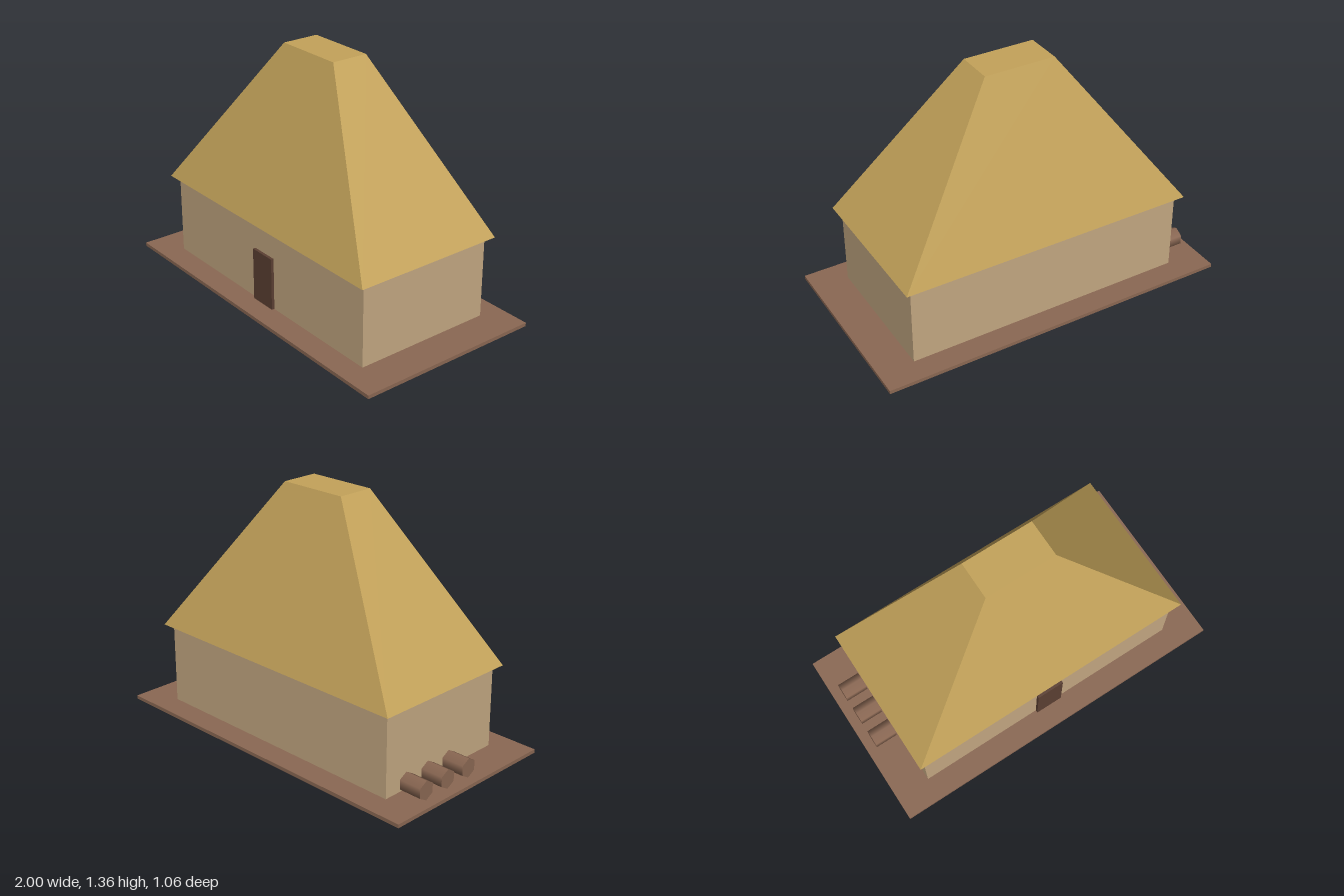
import * as THREE from 'three';

const material = (name, color) => {
  const m = new THREE.MeshStandardMaterial({ color });
  m.name = name;
  return m;
};

export function createModel() {
  const group = new THREE.Group();
  const thatch = material('thatch', 0xc4a35a);
  const clay = material('clay wall', 0xc4a882);
  const wood = material('brown wood', 0x8b6853);
  const darkWood = material('dark wood', 0x5c4033);

  const add = (name, geometry, mat, x, y, z) => {
    const mesh = new THREE.Mesh(geometry, mat);
    mesh.name = name;
    mesh.position.set(x, y, z);
    group.add(mesh);
    return mesh;
  };
  const box = (name, mat, w, h, d, x, y, z) =>
    add(name, new THREE.BoxGeometry(w, h, d), mat, x, y, z);

  // Ground slab, walls and front door
  box('groundSlab', wood, 2, 0.02, 1.064, 0, 0.01, 0);
  box('walls', clay, 1.6, 0.457, 0.8, 0, 0.2485, 0);
  box('door', darkWood, 0.16, 0.297, 0.032, 0, 0.1685, 0.4);

  // Steep hipped roof: a box tapered towards a flat top
  const roof = new THREE.BoxGeometry(1.672, 0.878, 0.875);
  const p = roof.attributes.position;
  for (let i = 0; i < p.count; i++) {
    if (p.getY(i) > 0) p.setXYZ(i, p.getX(i) * 0.24, p.getY(i), p.getZ(i) * 0.24);
  }
  roof.computeVertexNormals();
  add('roof', roof, thatch, 0, 0.477 + 0.439, 0);

  // Three hexagonal logs beside the right wall
  const log = new THREE.CylinderGeometry(0.0533, 0.0533, 0.13, 6, 1, false, Math.PI / 2);
  log.rotateZ(Math.PI / 2);
  for (const z of [-0.27, -0.11, 0.05]) add('log', log, wood, -0.88, 0.0733, z);

  return group;
}
